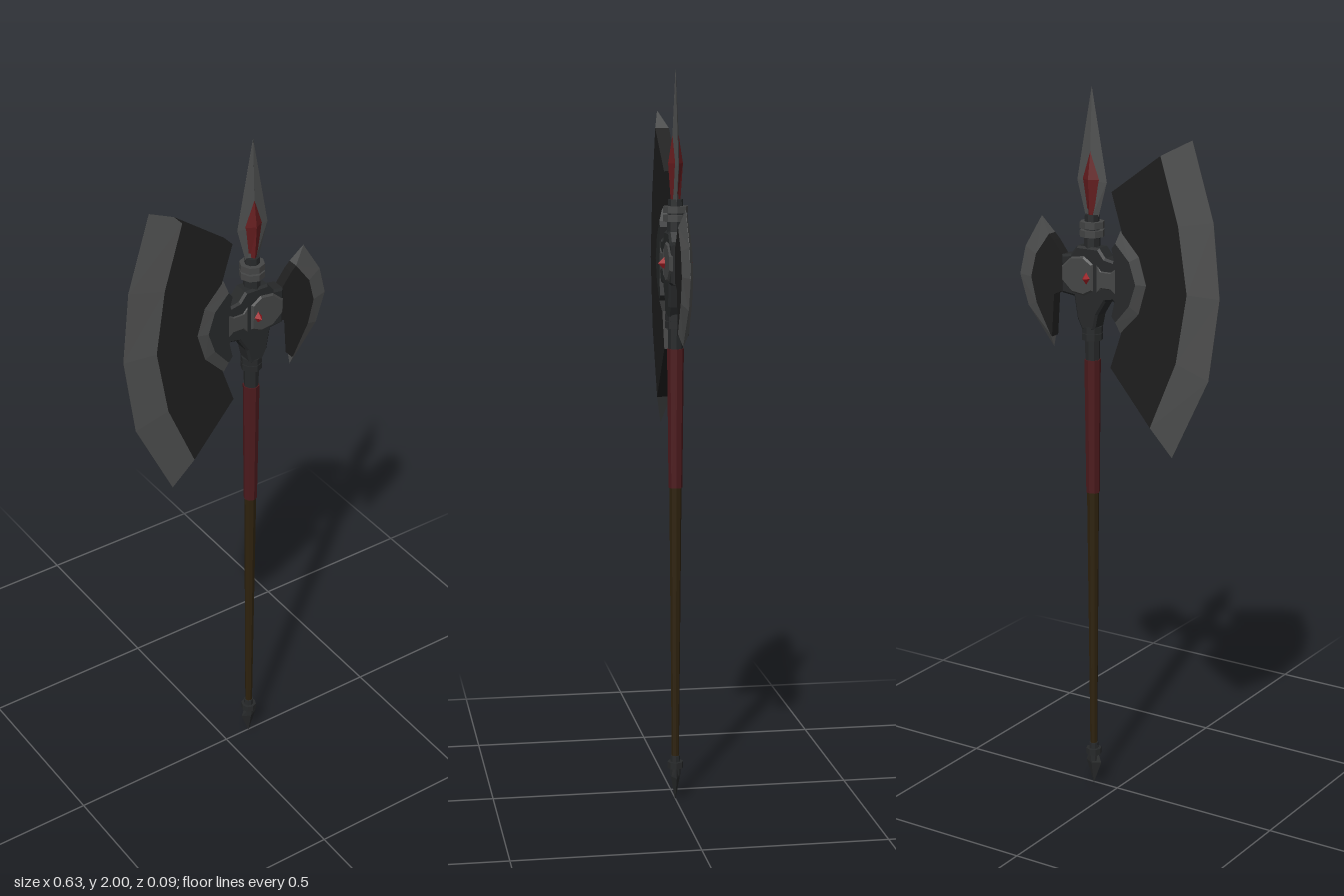
import * as THREE from 'three';

const mat = (name, color) => Object.assign(
  new THREE.MeshStandardMaterial({ color, flatShading: true }), { name });

export function createModel() {
  const darkSteel = mat('dark steel', 0x1e1e1e);
  const edgeSteel = mat('edge steel', 0x4e4f4f);
  const iron = mat('iron', 0x27292a);
  const plateSteel = mat('plate steel', 0x454646);
  const wood = mat('dark wood', 0x2e220e);
  const leather = mat('red leather', 0x4c1a1d);
  const inlay = mat('red inlay', 0x641c1e);
  const ruby = mat('ruby', 0xa01e24);

  const model = new THREE.Group();
  model.name = 'battleAxe';
  const CX = 0.08, CY = 1.49; // shaft axis and hub height

  const add = (name, geometry, material, x = 0, y = 0, z = 0) => {
    const mesh = new THREE.Mesh(geometry, material);
    mesh.name = name;
    mesh.position.set(x, y, z);
    model.add(mesh);
    return mesh;
  };

  // Skins a row of equal cross-section loops and caps both ends
  const loft = (loops) => {
    const tris = [], n = loops[0].length, last = loops.length - 1;
    for (let i = 0; i < last; i++) {
      for (let j = 0; j < n; j++) {
        const k = (j + 1) % n;
        const a = loops[i][j], b = loops[i][k], c = loops[i + 1][k], d = loops[i + 1][j];
        tris.push([a, b, c], [a, c, d]);
      }
    }
    for (let j = 1; j < n - 1; j++) {
      tris.push([loops[0][0], loops[0][j + 1], loops[0][j]]);
      tris.push([loops[last][0], loops[last][j], loops[last][j + 1]]);
    }
    // Turn the faces outward if the enclosed volume is negative
    const v = (p) => new THREE.Vector3(...p);
    const volume = tris.reduce((s, [a, b, c]) => s + v(a).dot(v(b).cross(v(c))), 0);
    if (volume < 0) tris.forEach((t) => t.reverse());
    const geometry = new THREE.BufferGeometry();
    geometry.setAttribute('position', new THREE.Float32BufferAttribute(tris.flat(2), 3));
    geometry.computeVertexNormals();
    return geometry;
  };

  // Flat body between inner and ridge, bevelled edge from ridge to outer
  const blade = (name, outer, ridge, inner, t, s, bodyMat, edgeMat) => {
    add(name + 'Body', loft(ridge.map((r, i) =>
      [[...inner[i], t], [...r, t], [...r, -t], [...inner[i], -t]])), bodyMat);
    add(name + 'Edge', loft(ridge.map((r, i) =>
      [[...r, t], [...outer[i], s], [...outer[i], -s], [...r, -t]])), edgeMat);
  };

  blade('largeBlade',
    [[-0.23, 1.885], [-0.296, 1.676], [-0.317, 1.475], [-0.286, 1.25], [-0.175, 1.02]],
    [[-0.145, 1.84], [-0.2, 1.66], [-0.228, 1.48], [-0.196, 1.29], [-0.116, 1.1]],
    [[0.006, 1.73], [-0.028, 1.62], [-0.05, 1.49], [-0.028, 1.36], [0.01, 1.25]],
    0.019, 0.0005, darkSteel, edgeSteel);

  blade('smallBlade',
    [[0.243, 1.64], [0.298, 1.55], [0.317, 1.47], [0.29, 1.385], [0.206, 1.28]],
    [[0.21, 1.595], [0.254, 1.535], [0.27, 1.47], [0.253, 1.4], [0.208, 1.315]],
    [[0.195, 1.58], [0.15, 1.52], [0.15, 1.45], [0.195, 1.43], [0.203, 1.31]],
    0.015, 0.0005, darkSteel, edgeSteel);

  blade('bladeBracket',
    [[-0.022, 1.628], [-0.08, 1.565], [-0.103, 1.49], [-0.08, 1.41], [-0.022, 1.35]],
    [[-0.012, 1.595], [-0.055, 1.55], [-0.075, 1.49], [-0.055, 1.43], [-0.012, 1.38]],
    [[0, 1.58], [-0.01, 1.54], [-0.012, 1.49], [-0.01, 1.44], [0, 1.395]],
    0.029, 0.02, iron, plateSteel);

  // Flat outline, extruded evenly about z = 0
  const slab = (points, half, bevel = 0) => {
    const shape = new THREE.Shape(points.map(([x, y]) => new THREE.Vector2(x, y)));
    const depth = 2 * (half - bevel);
    return new THREE.ExtrudeGeometry(shape, {
      depth, bevelEnabled: bevel > 0, bevelSize: bevel, bevelOffset: -bevel,
      bevelThickness: bevel, bevelSegments: 1,
    }).translate(0, 0, -depth / 2);
  };

  // Head socket with its gripping arms
  add('headSocket', slab([
    [-0.025, 1.565], [0, 1.545], [0.025, 1.55], [0.045, 1.575], [0.115, 1.575],
    [0.135, 1.55], [0.165, 1.545], [0.165, 1.44], [0.125, 1.435], [0.115, 1.375],
    [0.1, 1.345], [0.06, 1.345], [0.05, 1.39], [0.025, 1.43], [0, 1.435], [-0.025, 1.41],
  ], 0.025, 0.006), iron);
  add('socketArm', slab([
    [-0.025, 1.535], [0.005, 1.515], [0.035, 1.515], [0.05, 1.53],
    [0.05, 1.45], [0.035, 1.465], [0.005, 1.465], [-0.025, 1.445],
  ], 0.028, 0.004), plateSteel);
  add('socketPlate', slab([
    [0.06, 1.53], [0.09, 1.55], [0.13, 1.545], [0.163, 1.515],
    [0.163, 1.475], [0.13, 1.445], [0.09, 1.44], [0.06, 1.455],
  ], 0.03, 0.006), plateSteel);

  // Gem running through the hub
  add('gem', new THREE.OctahedronGeometry(1).scale(0.032, 0.046, 0.047), ruby, CX, CY);

  // Haft pieces: bottom y, top y, bottom radius, top radius
  const rod = (name, y0, y1, r0, r1, material, sides = 8) =>
    add(name, new THREE.CylinderGeometry(r1, r0, y1 - y0, sides), material, CX, (y0 + y1) / 2);

  rod('haft', 0.1, 0.89, 0.01, 0.017, wood);
  rod('grip', 0.88, 1.26, 0.019, 0.023, leather);
  rod('upperHaft', 1.26, 1.36, 0.02, 0.022, iron);
  for (const y of [1.325, 1.345]) rod('collarRing', y - 0.009, y + 0.009, 0.029, 0.029, iron);
  rod('neck', 1.56, 1.66, 0.024, 0.02, iron);
  for (const y of [1.61, 1.633]) rod('neckRing', y - 0.009, y + 0.009, 0.034, 0.034, plateSteel);

  // Four-sided spike through rows of [y, half width, half depth]
  const spike = (rows) => loft(rows.map(([y, w, d]) =>
    [[CX - w, y, 0], [CX, y, d], [CX + w, y, 0], [CX, y, -d]]));

  add('spearTip', spike([[1.645, 0.018, 0.01], [1.75, 0.047, 0.012], [2, 0.0005, 0.0005]]), edgeSteel);
  add('spearInlay', spike([[1.64, 0.012, 0.012], [1.755, 0.035, 0.02], [1.879, 0.0005, 0.0005]]), inlay);

  // Pommel
  rod('pommelRing', 0.09, 0.108, 0.022, 0.022, iron);
  rod('pommelNeck', 0.07, 0.125, 0.015, 0.013, iron);
  add('pommelSpike', spike([[0, 0.001, 0.001], [0.065, 0.025, 0.013], [0.092, 0.016, 0.011]]), iron);

  return model;
}
